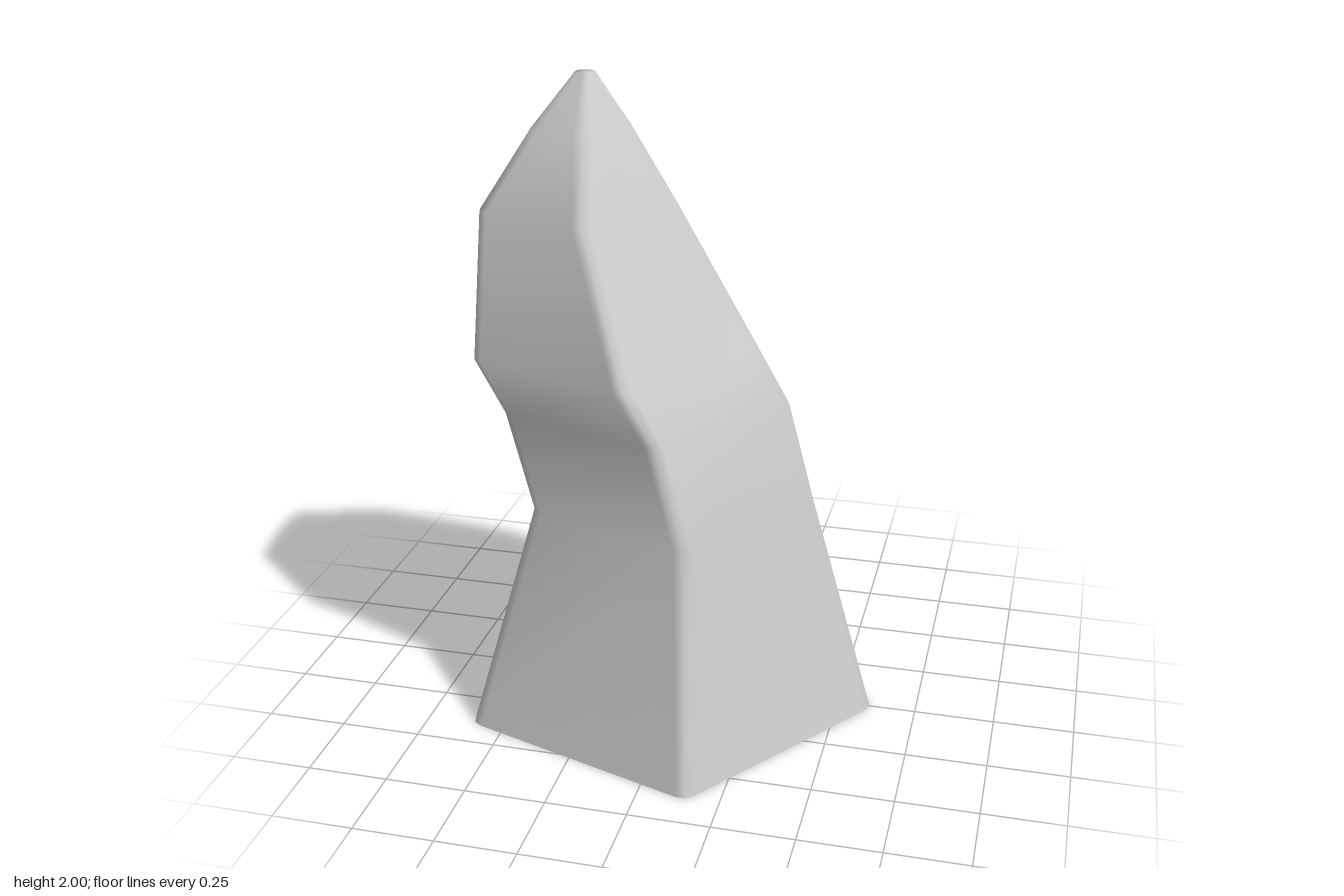
import * as THREE from 'three';

// Levels of the spire: height, centre x, centre z, pentagon radius
const LEVELS = [
  [0, -0.06, 0, 0.675],
  [0.71, -0.05, 0, 0.462],
  [1.02, -0.134, -0.007, 0.462],
  [1.18, -0.23, -0.018, 0.462],
  [1.61, -0.343, -0.032, 0.321],
  [1.84, -0.331, -0.033, 0.168],
  [2.0, -0.316, -0.033, 0.036],
];
const SIDES = 5;

// One pentagon ring with each corner softened by three points
function ring([y, cx, cz, r]) {
  const corner = (i) => {
    const a = (i / SIDES) * Math.PI * 2;
    return new THREE.Vector3(cx + r * Math.cos(a), y, cz + r * Math.sin(a));
  };
  const bevel = Math.min(0.034, r * 0.3) / (r * 2 * Math.sin(Math.PI / SIDES));
  const points = [];
  for (let i = 0; i < SIDES; i++) {
    const c = corner(i);
    const before = c.clone().lerp(corner(i - 1), bevel);
    const after = c.clone().lerp(corner(i + 1), bevel);
    const middle = before.clone().add(after).multiplyScalar(0.5).lerp(c, 0.5);
    points.push(before, middle, after);
  }
  return points;
}

export function createModel() {
  const group = new THREE.Group();
  group.name = 'rockSpire';

  // Skin lofted through the rings, open at the base
  const rings = LEVELS.map(ring);
  const n = rings[0].length;
  const points = rings.flat();
  const index = [];
  for (let k = 0; k < rings.length - 1; k++) {
    for (let j = 0; j < n; j++) {
      const a = k * n + j;
      const b = k * n + ((j + 1) % n);
      index.push(a, a + n, b, b, a + n, b + n);
    }
  }

  // Small flat tip
  const [topY, topX, topZ] = LEVELS[LEVELS.length - 1];
  const tip = points.length;
  points.push(new THREE.Vector3(topX, topY, topZ));
  for (let j = 0; j < n; j++) {
    index.push(tip, tip - n + ((j + 1) % n), tip - n + j);
  }

  const geometry = new THREE.BufferGeometry().setFromPoints(points);
  geometry.setIndex(index);
  geometry.computeVertexNormals();

  const material = new THREE.MeshStandardMaterial({ color: 0xcccccc, side: THREE.DoubleSide });
  const rock = new THREE.Mesh(geometry, material);
  rock.name = 'rock';
  group.add(rock);
  return group;
}
